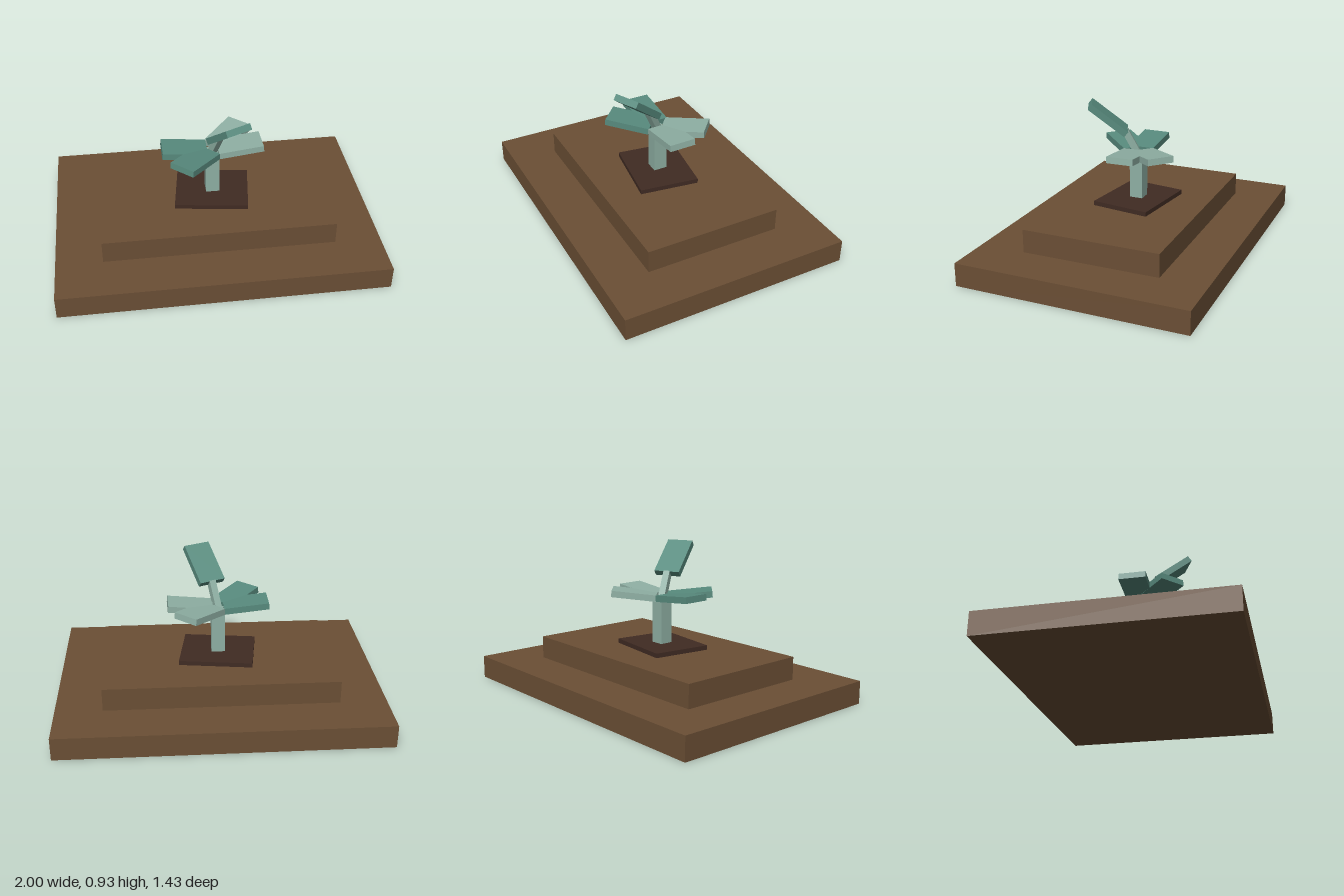
import * as THREE from 'three';

export function createModel() {
  const model = new THREE.Group();
  const material = (name, color) => {
    const m = new THREE.MeshStandardMaterial({ color });
    m.name = name;
    return m;
  };
  const wood = material('brown wood', 0x6b4f35);
  const soil = material('dark soil', 0x402b23);
  const pale = material('pale green', 0x8fb0a4);
  const teal = material('teal green', 0x588b7e);

  const box = (name, mat, w, h, d, x, y, z, parent = model) => {
    const mesh = new THREE.Mesh(new THREE.BoxGeometry(w, h, d), mat);
    mesh.name = name;
    mesh.position.set(x, y, z);
    parent.add(mesh);
    return mesh;
  };
  const rad = THREE.MathUtils.degToRad;

  // Stepped plinth, with a slightly turned soil slab
  box('lowerStep', wood, 2, 0.143, 1.428, 0, 0.0715, 0);
  box('upperStep', wood, 1.428, 0.143, 0.856, 0, 0.2145, 0);
  box('soilSlab', soil, 0.455, 0.028, 0.373, 0, 0.3, 0).rotation.y = rad(-8);

  // Main stem
  box('stem', pale, 0.084, 0.29, 0.084, 0, 0.455, 0);

  // Each leaf points outward at its heading and rises toward its tip
  const addLeaf = (name, mat, heading, tilt, radius, y) => {
    const arm = new THREE.Group();
    arm.name = name + 'Arm';
    arm.rotation.y = rad(heading);
    model.add(arm);
    box(name, mat, 0.278, 0.04, 0.168, radius, y, 0, arm).rotation.z = rad(tilt);
    return arm;
  };
  addLeaf('leftLeaf', pale, 1.5, 6, 0.173, 0.622);
  addLeaf('backLeftLeaf', pale, 48, 6, 0.173, 0.622);
  addLeaf('rightLeaf', teal, 180, 6, 0.173, 0.622);
  addLeaf('frontRightLeaf', teal, 228, 6, 0.173, 0.622);

  // Raised leaf on its leaning stalk
  const upper = addLeaf('raisedLeaf', teal, -65.5, 38.5, 0.186, 0.826);
  box('stalk', pale, 0.042, 0.18, 0.042, 0.043, 0.67, 0, upper).rotation.z = rad(-28);

  return model;
}
